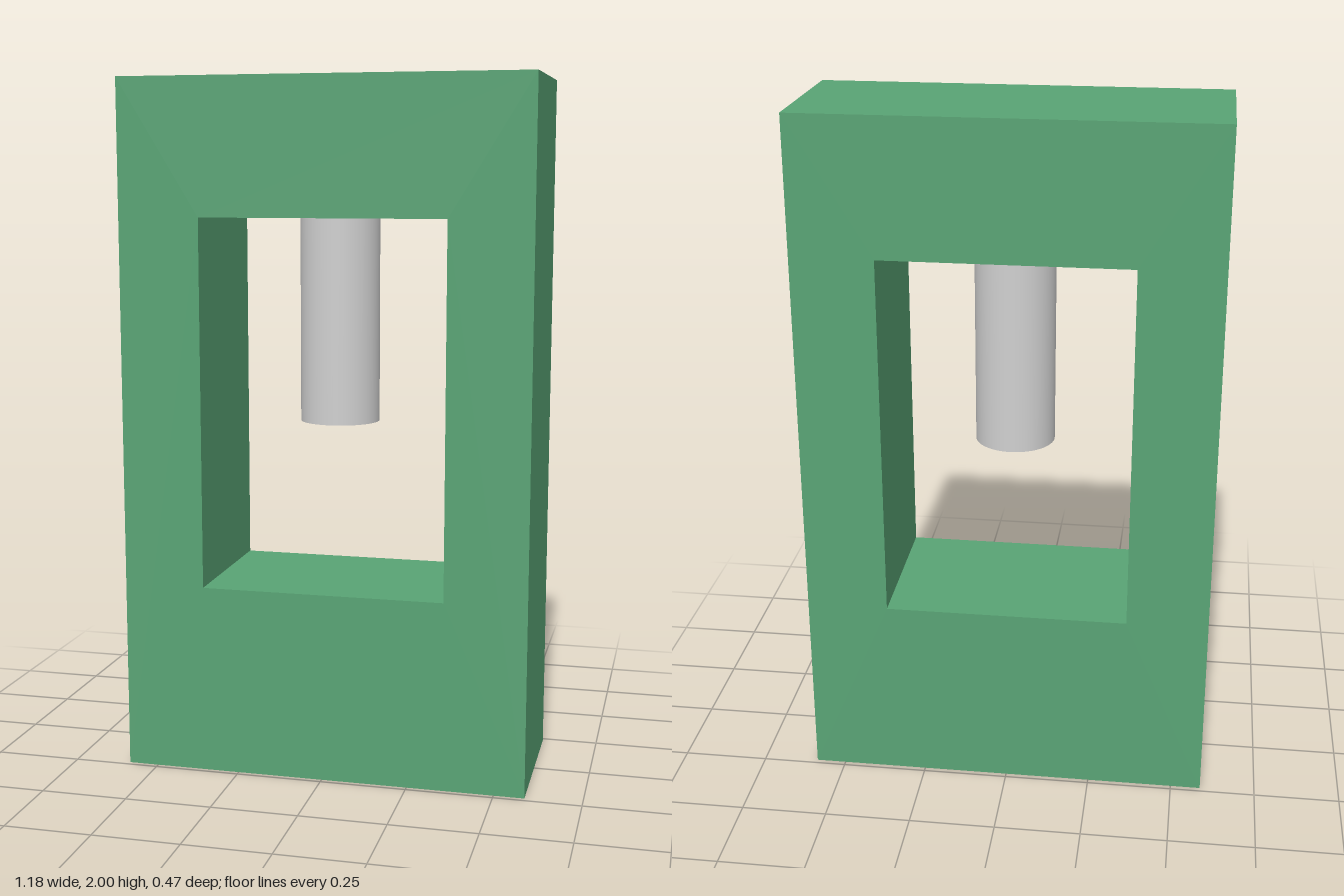
import * as THREE from 'three';

export function createModel() {
  const green = new THREE.MeshStandardMaterial({ color: 0x59a475 });
  green.name = 'green';
  const grey = new THREE.MeshStandardMaterial({ color: 0xd0d0d0 });
  grey.name = 'light grey';

  const width = 1.176, height = 2, depth = 0.47;
  const holeHalf = 0.352, holeBottom = 0.55, holeTop = 1.612;
  const pinRadius = 0.115, pinBottom = 1.02;

  const group = new THREE.Group();
  group.name = 'frameWithPin';

  // Thick frame with a rectangular window
  const outline = new THREE.Shape([
    new THREE.Vector2(-width / 2, 0),
    new THREE.Vector2(width / 2, 0),
    new THREE.Vector2(width / 2, height),
    new THREE.Vector2(-width / 2, height),
  ]);
  outline.holes.push(new THREE.Path([
    new THREE.Vector2(-holeHalf, holeBottom),
    new THREE.Vector2(-holeHalf, holeTop),
    new THREE.Vector2(holeHalf, holeTop),
    new THREE.Vector2(holeHalf, holeBottom),
  ]));
  const frameGeometry = new THREE.ExtrudeGeometry(outline, { depth, bevelEnabled: false });
  frameGeometry.translate(0, 0, -depth / 2);
  const frame = new THREE.Mesh(frameGeometry, green);
  frame.name = 'frame';
  group.add(frame);

  // Round pin hanging from the top of the window
  const pinLength = holeTop - pinBottom;
  const pin = new THREE.Mesh(new THREE.CylinderGeometry(pinRadius, pinRadius, pinLength, 48), grey);
  pin.name = 'pin';
  pin.position.y = pinBottom + pinLength / 2;
  group.add(pin);

  return group;
}
